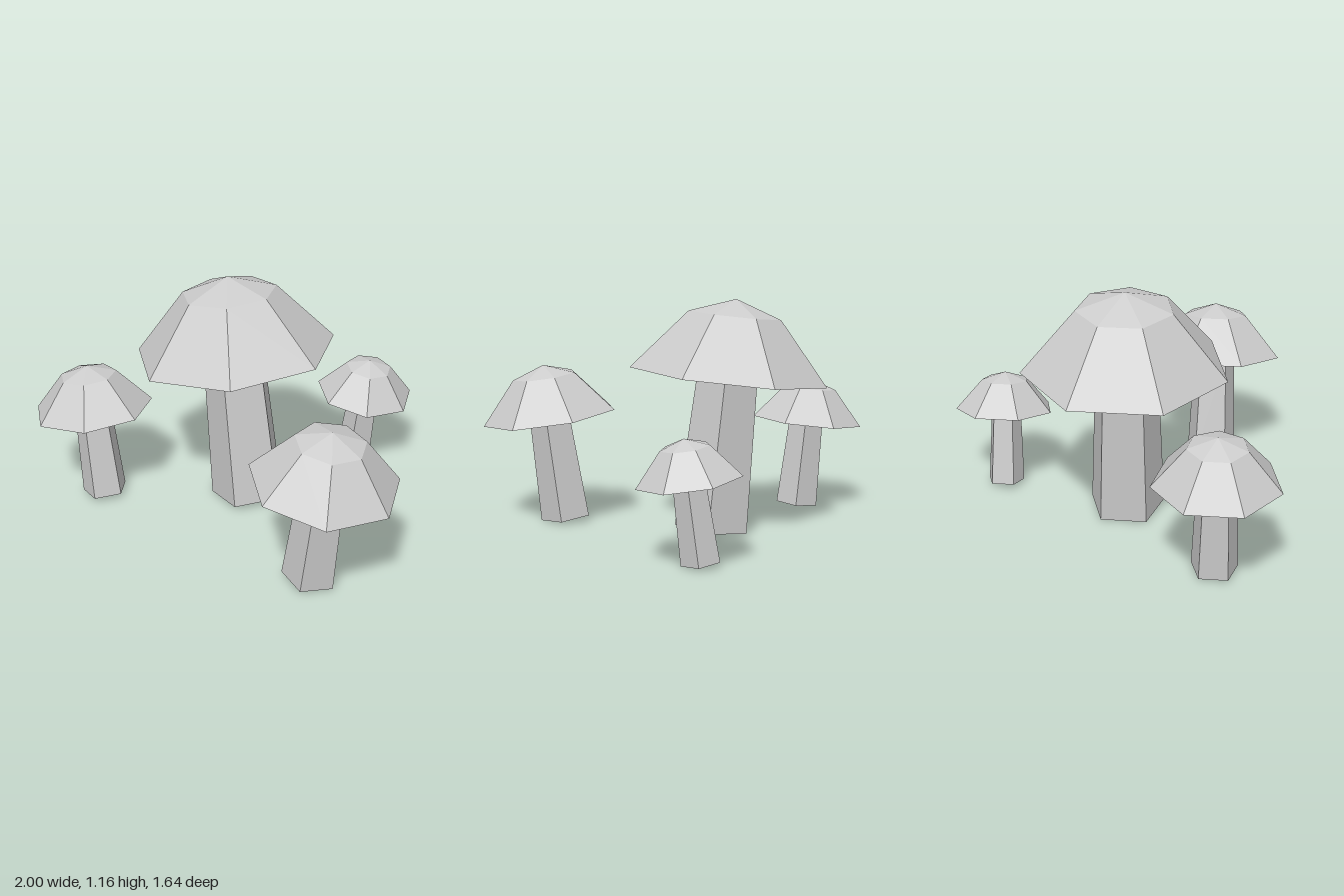
import * as THREE from 'three';

const material = new THREE.MeshStandardMaterial({ color: 0xcccccc, flatShading: true });
material.name = 'pale grey';

// Unit mushroom: five-sided tapered stem, seven-sided faceted cap with a flat underside
const STEM_HEIGHT = 0.77;
const stemGeometry = new THREE.CylinderGeometry(0.157, 0.19, STEM_HEIGHT, 5, 1, false, Math.PI / 2);
stemGeometry.translate(0, STEM_HEIGHT / 2, 0);

const capProfile = [[0, 0], [0.497, 0], [0.233, 0.302], [0, 0.38]].map(([r, y]) => new THREE.Vector2(r, y));
const capGeometry = new THREE.LatheGeometry(capProfile, 7, Math.PI / 2);
capGeometry.translate(0, STEM_HEIGHT, 0);

function createMushroom({ name, base, scale, tilt }) {
  const mushroom = new THREE.Group();
  mushroom.name = name;

  const stem = new THREE.Mesh(stemGeometry, material);
  stem.name = 'stem';
  const cap = new THREE.Mesh(capGeometry, material);
  cap.name = 'cap';
  mushroom.add(stem, cap);

  mushroom.position.set(...base);
  mushroom.rotation.z = THREE.MathUtils.degToRad(tilt);
  mushroom.scale.setScalar(scale);
  return mushroom;
}

export function createModel() {
  const model = new THREE.Group();
  model.name = 'mushroomCluster';

  // Positions are the centre of each stem's foot; tilt leans the mushroom sideways
  const mushrooms = [
    { name: 'largeMushroom', base: [-0.112, 0.022, 0.07], scale: 1, tilt: 6.1 },
    { name: 'rightMushroom', base: [-0.687, 0.023, 0.53], scale: 0.595, tilt: 6 },
    { name: 'leftMushroom', base: [0.579, 0.023, 0.455], scale: 0.697, tilt: -7.9 },
    { name: 'backMushroom', base: [0.078, 0.022, -0.58], scale: 0.5, tilt: -7.9 },
  ];
  for (const m of mushrooms) model.add(createMushroom(m));
  return model;
}
